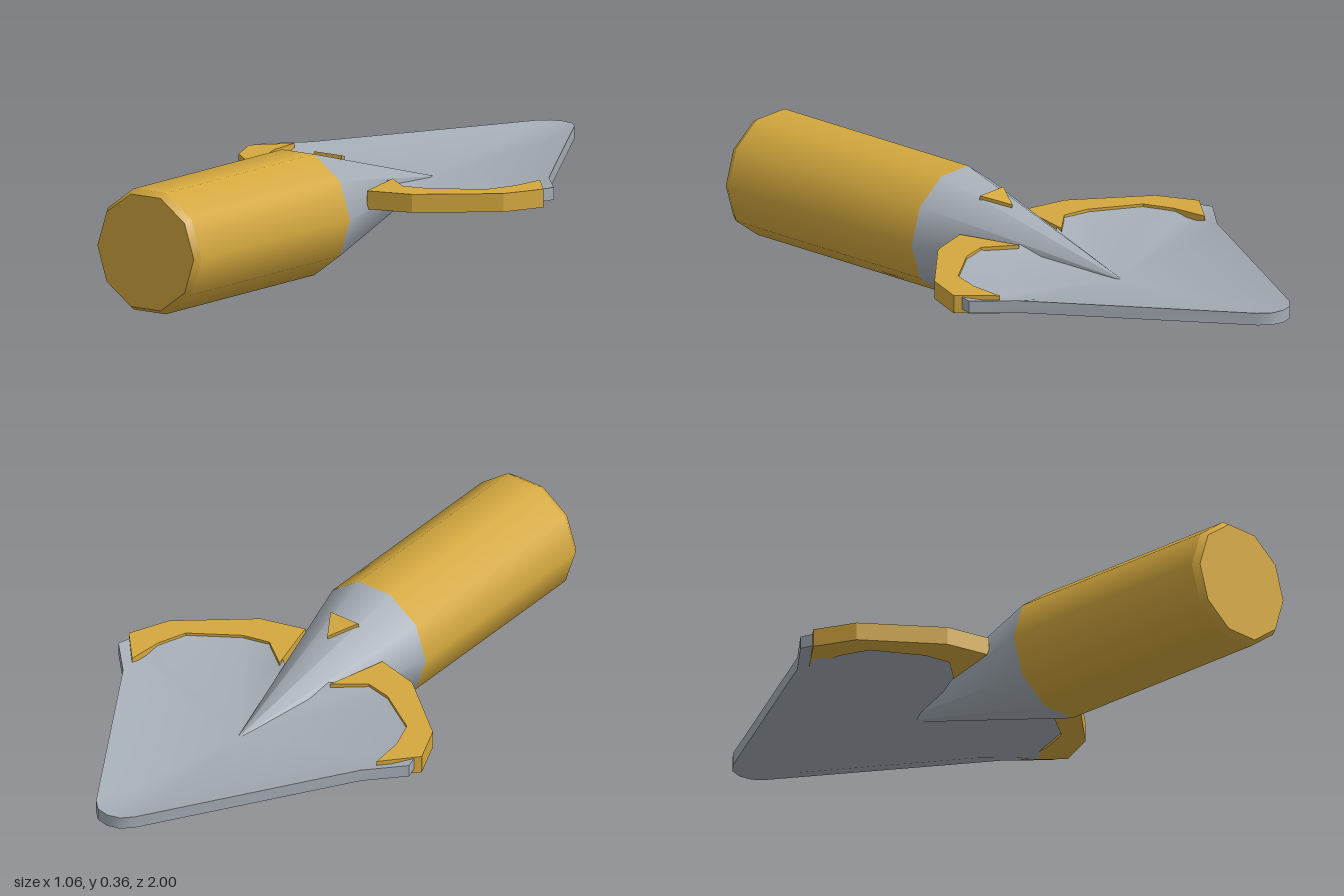
import * as THREE from 'three';
import { toCreasedNormals } from 'three/addons/utils/BufferGeometryUtils.js';

const gold = new THREE.MeshStandardMaterial({ color: 0xd4a83e });
gold.name = 'gold';
const steel = new THREE.MeshStandardMaterial({ color: 0xa5adb6 });
steel.name = 'steel';

const AXIS_Y = 0.183;

// Ten-sided section along z, from zBack to zFront
function section(rFront, rBack, zFront, zBack, open) {
  const g = new THREE.CylinderGeometry(rFront, rBack, zFront - zBack, 10, 1, open, Math.PI / 2);
  g.rotateX(Math.PI / 2);
  g.translate(0, AXIS_Y, (zFront + zBack) / 2);
  return g;
}

// Flat plate from [x, z] points, lying horizontally with its base at y = 0
function plate(points, depth) {
  const shape = new THREE.Shape(points.map(([x, z]) => new THREE.Vector2(x, -z)));
  const g = new THREE.ExtrudeGeometry(shape, { depth, bevelEnabled: false });
  g.rotateX(-Math.PI / 2);
  return g;
}

// Dished blade: scaled copies of the outline, sunk towards the centre
function bladeGeometry() {
  const half = [[0, -1], [0.04, -0.99], [0.07, -0.96], [0.43, -0.36], [0.527, -0.255],
    [0.515, -0.215], [0.46, -0.19], [0.42, -0.09], [0.27, 0.01], [0.18, 0.025],
    [0.08, -0.05], [0, -0.05]];
  const mirrored = half.slice(1, -1).reverse().map(([x, z]) => [-x, z]);
  const outline = [...half, ...mirrored];
  const n = outline.length;
  const centreZ = -0.36;
  const thickness = 0.037;
  // [scale, drop, underside]
  const layers = [[0, 0.05, 0], [0.75, 0.024, 0], [1, 0, 0], [1, 0, 1], [0.75, 0.028, 1], [0, 0.05, 1]];
  const pos = [];
  const index = [];
  for (const [scale, drop, under] of layers) {
    for (const [x, z] of outline) {
      const lift = 0.01 * scale * THREE.MathUtils.clamp((-z - 0.36) / 0.35, 0, 1);
      pos.push(x * scale, 0.236 + lift - drop - under * thickness, centreZ + (z - centreZ) * scale);
    }
  }
  for (let j = 0; j < layers.length - 1; j++) {
    for (let i = 0; i < n; i++) {
      const a = j * n + i, b = j * n + (i + 1) % n;
      if (layers[j][0] > 0) index.push(a, b, b + n);
      if (layers[j + 1][0] > 0) index.push(a, b + n, a + n);
      // fans at the two centres
      if (layers[j][0] === 0) index.splice(index.length - 3, 3, a, b + n, a + n);
    }
  }
  const g = new THREE.BufferGeometry();
  g.setAttribute('position', new THREE.Float32BufferAttribute(pos, 3));
  g.setIndex(index);
  return toCreasedNormals(g, 0.6);
}

export function createModel() {
  const model = new THREE.Group();
  model.name = 'trowel';
  const add = (name, geometry, material, parent = model) => {
    const mesh = new THREE.Mesh(geometry, material);
    mesh.name = name;
    parent.add(mesh);
    return mesh;
  };

  // Handle with a chamfered end
  const handle = new THREE.Group();
  handle.name = 'handle';
  model.add(handle);
  add('grip', section(0.187, 0.187, 0.98, 0.27, true), gold, handle);
  add('gripEnd', section(0.174, 0.187, 1, 0.98, false), gold, handle);

  // Tapering neck that runs into the blade
  add('neck', section(0.187, 0.0005, 0.27, -0.385, false), steel);
  add('blade', bladeGeometry(), steel);

  // Curved guards on both shoulders of the blade
  const guard = [[0.443, -0.3], [0.531, -0.2], [0.478, -0.078], [0.275, 0.09], [0.14, 0.126],
    [0.092, -0.06], [0.18, 0.008], [0.262, -0.01], [0.4, -0.1], [0.433, -0.19]];
  for (const side of [1, -1]) {
    const g = plate(guard.map(([x, z]) => [x * side, z]), 0.054);
    add(side > 0 ? 'leftGuard' : 'rightGuard', g, gold).position.y = 0.186;
  }

  // Small raised triangle lying on the neck
  const marker = add('marker', plate([[-0.05, 0.042], [0.05, 0.042], [0, -0.042]], 0.018), gold);
  marker.position.set(0, 0.305, 0.092);
  marker.rotation.x = -0.263;

  return model;
}
